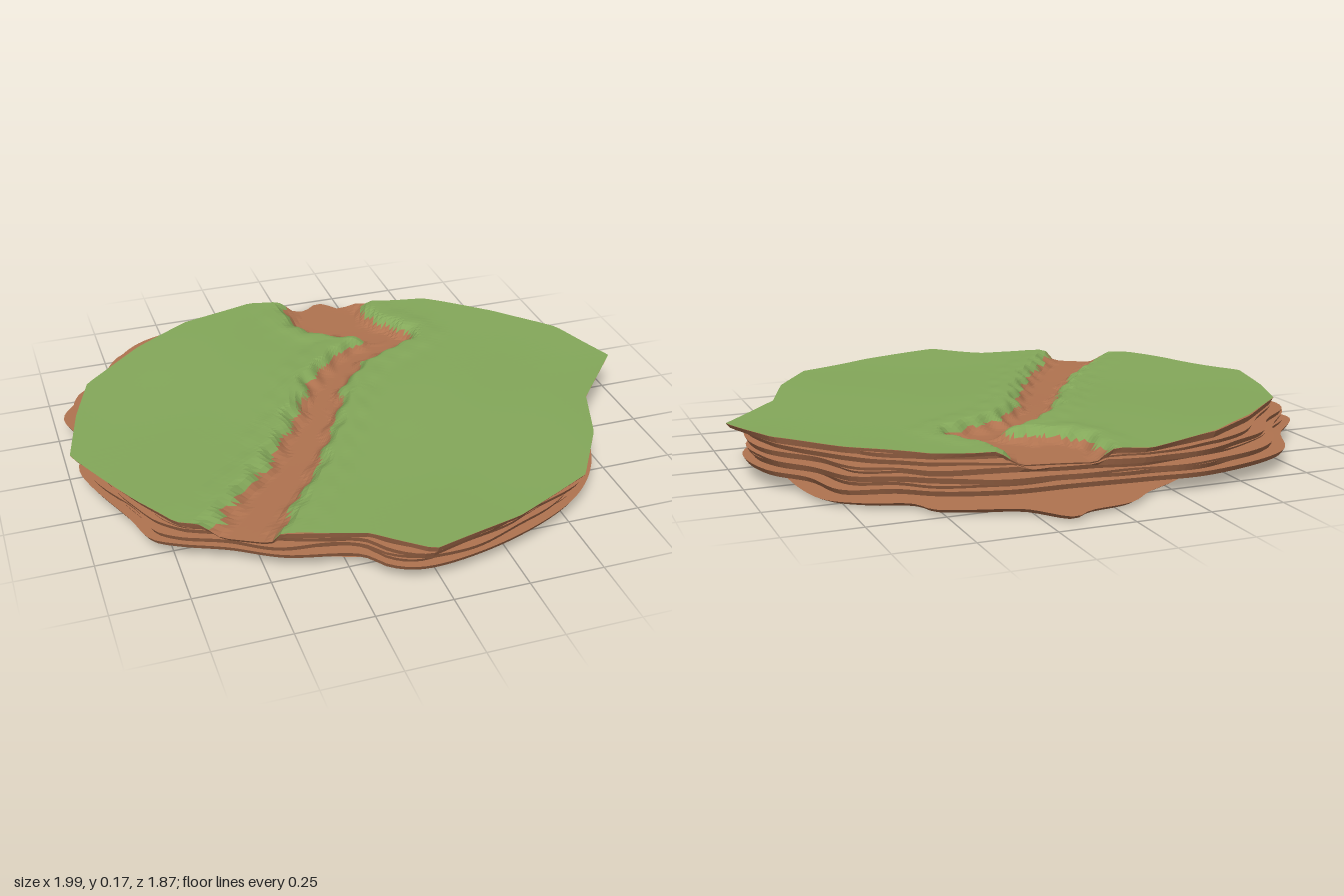
import * as THREE from 'three';

const SEG = 200;
const GRASS = 0x84a85a, DIRT = 0xb07350;

// Outlines as x, z pairs
const grassEdge = [-0.16, -0.78, 0.01, -0.73, 0.3, -0.65, 0.5, -0.6, 0.72, -0.42, 0.9, -0.22, 0.995, 0.03, 0.78, 0.28,
  0.7, 0.5, 0.56, 0.72, 0.27, 0.86, -0.04, 0.94, -0.2, 0.8, -0.45, 0.73, -0.63, 0.63, -0.75, 0.57, -0.84, 0.42,
  -0.9, 0.3, -1, 0.1, -0.94, -0.15, -0.87, -0.35, -0.65, -0.55, -0.44, -0.69];
const rockEdge = [-0.37, -0.8, -0.15, -0.79, 0.1, -0.77, 0.3, -0.76, 0.5, -0.7, 0.62, -0.62, 0.77, -0.57, 0.83, -0.4,
  0.93, -0.27, 0.96, -0.05, 0.84, 0.15, 0.74, 0.3, 0.7, 0.5, 0.55, 0.7, 0.25, 0.85, -0.05, 0.9, -0.15, 0.86,
  -0.22, 0.78, -0.45, 0.71, -0.6, 0.62, -0.75, 0.55, -0.82, 0.5, -0.86, 0.38, -0.95, 0.15, -0.97, 0.05,
  -0.93, -0.12, -0.97, -0.3, -0.82, -0.48, -0.7, -0.68];
const slabEdge = [0.17, -0.94, 0.28, -0.82, 0.42, -0.77, 0.53, -0.72, 0.57, -0.64, 0.7, -0.58, 0.8, -0.5, 0.84, -0.37,
  0.85, -0.1, 0.8, 0.15, 0.68, 0.4, 0.5, 0.62, 0.2, 0.74, -0.1, 0.76, -0.4, 0.65, -0.6, 0.42, -0.69, 0.1,
  -0.65, -0.2, -0.5, -0.5, -0.3, -0.7, -0.15, -0.79, -0.05, -0.87, 0.1, -0.9];

// Gully centre line: x, z, half width
const gully = [[-0.66, 0.8, 0.08], [-0.55, 0.65, 0.08], [-0.31, 0.35, 0.06], [-0.13, 0.05, 0.05], [-0.06, -0.1, 0.045],
  [0.09, -0.27, 0.035], [0.3, -0.37, 0.04], [0.17, -0.5, 0.07], [0.11, -0.6, 0.13], [0.13, -0.85, 0.12]];

// Radius of an outline for every angle step
function radii(flat, smooth) {
  let pts = [];
  for (let i = 0; i < flat.length; i += 2) pts.push(new THREE.Vector3(flat[i], 0, flat[i + 1]));
  if (smooth) pts = new THREE.CatmullRomCurve3(pts, true).getPoints(300);
  return Array.from({ length: SEG }, (_, j) => {
    const a = (j / SEG) * Math.PI * 2, dx = Math.cos(a), dz = Math.sin(a);
    let best = 0;
    pts.forEach((p, i) => {
      const q = pts[(i + 1) % pts.length];
      const sp = dx * p.z - dz * p.x, sq = dx * q.z - dz * q.x;
      if (sp * sq > 0 || sp === sq) return;
      const t = sp / (sp - sq);
      best = Math.max(best, dx * (p.x + (q.x - p.x) * t) + dz * (p.z + (q.z - p.z) * t));
    });
    return best;
  });
}

// Distance beyond the gully floor edge (negative inside)
function gullyGap(x, z) {
  let best = 9;
  for (let i = 0; i < gully.length - 1; i++) {
    const [ax, az, aw] = gully[i], [bx, bz, bw] = gully[i + 1];
    const ux = bx - ax, uz = bz - az;
    const t = THREE.MathUtils.clamp(((x - ax) * ux + (z - az) * uz) / (ux * ux + uz * uz), 0, 1);
    best = Math.min(best, Math.hypot(x - ax - ux * t, z - az - uz * t) - aw - (bw - aw) * t);
  }
  return best + 0.014 * Math.sin(x * 47 + z * 13) * Math.sin(z * 39 - x * 11);
}

// Height of the ground, cut by the gully
function ground(x, z) {
  const hills = 0.156 + 0.004 * Math.sin(x * 4 + 1) * Math.cos(z * 5) + 0.002 * Math.sin(x * 11 + z * 8);
  const g = gullyGap(x, z);
  const lip = 0.007 * Math.exp(-(((g - 0.07) / 0.05) ** 2)) * Math.max(0, 1 - x * x - z * z);
  return hills + lip - 0.042 * (1 - THREE.MathUtils.smoothstep(g, -0.02, 0.06));
}

// Skin between successive rings; keep(x, z) chooses the faces
function loft(name, color, rings, keep = () => true) {
  const pos = [];
  const tri = (...v) => {
    const x = (v[0][0] + v[1][0] + v[2][0]) / 3, z = (v[0][2] + v[1][2] + v[2][2]) / 3;
    if (keep(x, z)) v.forEach((p) => pos.push(...p));
  };
  for (let i = 0; i < rings.length - 1; i++) {
    for (let j = 0; j < SEG; j++) {
      const k = (j + 1) % SEG;
      tri(rings[i][j], rings[i + 1][k], rings[i + 1][j]);
      tri(rings[i][j], rings[i][k], rings[i + 1][k]);
    }
  }
  const geo = new THREE.BufferGeometry();
  geo.setAttribute('position', new THREE.Float32BufferAttribute(pos, 3));
  geo.computeVertexNormals();
  const mesh = new THREE.Mesh(geo, new THREE.MeshStandardMaterial({ color, flatShading: true, side: THREE.DoubleSide }));
  mesh.name = name;
  return mesh;
}

// One ring: outline radii times a scale, height by a rule
function ring(r, scale, height) {
  return r.map((v, j) => {
    const a = (j / SEG) * Math.PI * 2;
    const x = Math.cos(a) * v * scale, z = Math.sin(a) * v * scale;
    return [x, height(x, z, a), z];
  });
}

export function createModel() {
  const model = new THREE.Group();
  const top = radii(grassEdge, false), rock = radii(rockEdge, true), slab = radii(slabEdge, true);

  // Turf and the bare earth of the gully share one surface
  const surface = Array.from({ length: 45 }, (_, i) => ring(top, i / 44, ground));
  const isDirt = (x, z) => gullyGap(x, z) < 0.018;
  model.add(loft('grass', GRASS, surface, (x, z) => !isDirt(x, z)));
  model.add(loft('gullyFloor', DIRT, surface, isDirt));

  // Rock strata: bottom, top, blend from turf to rock outline, scale
  const strata = new THREE.Group();
  strata.name = 'rockStrata';
  const layers = [[0.046, 0.064, 1, 1], [0.06, 0.078, 0.95, 0.975], [0.072, 0.092, 0.85, 0.995], [0.088, 0.104, 0.7, 0.965],
    [0.098, 0.118, 0.6, 0.99], [0.112, 0.13, 0.35, 0.985], [0.122, 0.142, 0.2, 0.965], [0.136, 0.16, 0, 1]];
  layers.forEach(([y0, y1, mix, scale], n) => {
    const rim = mix === 0;
    const r = top.map((v, j) => {
      const a = (j / SEG) * Math.PI * 2;
      const rough = rim ? 0 : 0.008 * Math.sin(a * 7 + n * 2.1) + 0.005 * Math.sin(a * 17 + n * 4.3) - 0.008;
      return (v + (rock[j] - v) * mix) * scale + (n ? rough : 0);
    });
    // Tilted beds, always kept under the ground
    const bed = (y, gap) => (x, z, a) =>
      Math.min(y + (n ? 0.004 * Math.sin(a * 3 + n * 1.7) : 0), ground(x, z) - gap);
    const rings = [0.8, 0.86, 0.92, 0.96, 1].map((s) => ring(r, s, bed(y1, s === 1 && rim ? 0.001 : 0.006)));
    rings.push(ring(r, 0.988, bed(y0, 0.014)), ring(r, n ? 0.85 : 0, bed(y0, 0.014)));
    strata.add(loft('stratum' + (n + 1), DIRT, rings));
  });
  model.add(strata);

  // Thin separate slab beneath
  const wave = (y) => (x, z, a) => y + 0.002 * Math.sin(a * 4);
  model.add(loft('baseSlab', DIRT, [ring(slab, 0, () => 0.017), ring(slab, 1, wave(0.017)),
    ring(slab, 0.985, wave(0.01)), ring(slab, 0.97, () => 0.002), ring(slab, 0, () => 0)]));
  return model;
}
